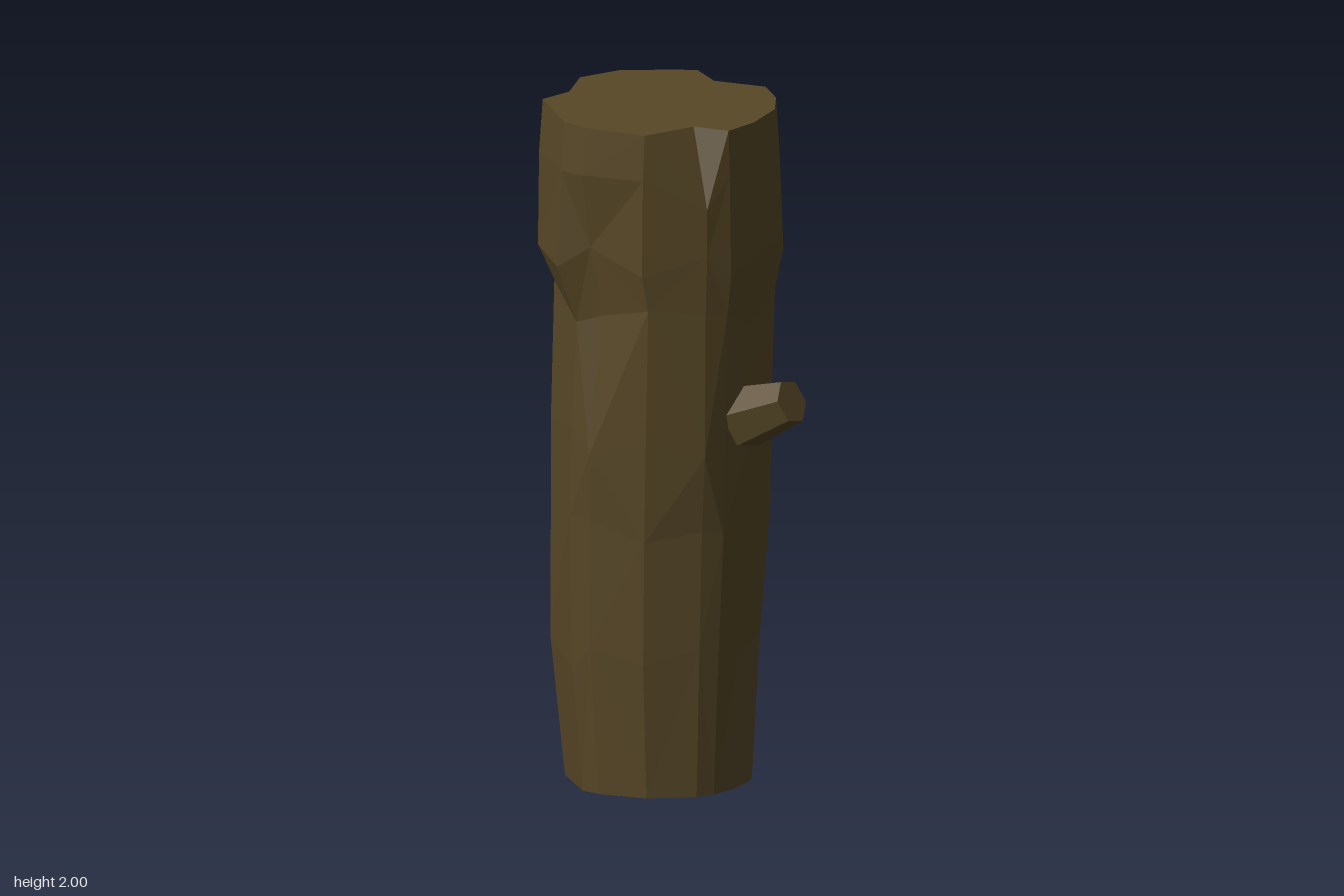
import * as THREE from 'three';

const bark = new THREE.MeshStandardMaterial({ color: 0x574726 });
bark.name = 'bark';

// Outline of the trunk as [x, z], running from the front towards +x
const outline = [
  [0.05, 0.30], [0.12, 0.28], [0.21, 0.215], [0.30, 0.10], [0.33, -0.01], [0.325, -0.12],
  [0.265, -0.245], [0.17, -0.315], [0.11, -0.335], [-0.055, -0.36], [-0.18, -0.315],
  [-0.285, -0.235], [-0.335, -0.13], [-0.325, 0.105], [-0.28, 0.17], [-0.13, 0.28],
];
const N = outline.length;

// Split notches in the upper rim: column -> [inner x, inner z, y of the lower tip]
const notches = { 0: [0.03, 0.22, 1.75], 6: [0.19, -0.205, 1.85], 11: [-0.24, -0.185, 1.82] };

// Trunk levels: [y, reach to -x, +x, -z, +z]
const levels = [
  [0.00, 0.27, 0.255, 0.30, 0.22],
  [0.40, 0.305, 0.275, 0.345, 0.24],
  [0.80, 0.31, 0.305, 0.337, 0.26],
  [1.05, 0.31, 0.315, 0.335, 0.28],
  [1.42, 0.295, 0.32, 0.33, 0.29],
  [1.58, 0.35, 0.345, 0.335, 0.30],
  [1.84, 0.342, 0.335, 0.347, 0.30],
];

// Long cracks in the bark: [level, column, radial scale]
const cracks = [[4, 14, 0.9], [5, 14, 0.88], [4, 11, 0.92], [5, 11, 0.93], [4, 5, 0.96]];

function makeRings() {
  const rings = levels.map(([y, xl, xr, zb, zf], k) => outline.map(([x, z], i) => {
    const middle = k > 0 && k < levels.length - 1;
    const crack = cracks.find(c => c[0] === k && c[1] === i);
    const s = (crack ? crack[2] : 1) * (middle ? 1 + 0.012 * Math.sin(i * 4.1 + k * 2.3) : 1);
    const px = x * s * (x < 0 ? xl / 0.335 : xr / 0.33);
    const pz = z * s * (z < 0 ? zb / 0.36 : zf / 0.30);
    let py = y + (middle ? 0.04 * Math.sin(i * 2.2 + k * 1.7) : 0);
    if (k === levels.length - 1 && notches[i]) py = notches[i][2];
    return [px, py, pz];
  }));
  // Upper rim, rising slightly to the back
  rings.push(outline.map(([x, z], i) => {
    const [px, pz] = notches[i] || [x * 0.985, z];
    return [px, 1.986 - pz * 0.038, pz];
  }));
  return rings;
}

function makeTrunk() {
  const rings = makeRings();
  const pos = [];
  const tri = (a, b, c) => pos.push(...a, ...b, ...c);
  for (let k = 0; k < rings.length - 1; k++) {
    for (let i = 0; i < N; i++) {
      const j = (i + 1) % N;
      const a = rings[k][i], b = rings[k][j], c = rings[k + 1][j], d = rings[k + 1][i];
      // Diagonals run towards the notch tips so each notch is a clean triangle
      const toB = k === rings.length - 2 ? !!notches[j] : (i + k) % 2 === 0;
      if (toB) { tri(a, b, d); tri(b, c, d); } else { tri(a, b, c); tri(a, c, d); }
    }
  }
  // Sawn ends
  const top = rings[rings.length - 1], bottom = rings[0];
  for (let i = 0; i < N; i++) {
    const j = (i + 1) % N;
    tri([0, 1.986, 0], top[i], top[j]);
    tri([0, 0, 0], bottom[j], bottom[i]);
  }
  const geo = new THREE.BufferGeometry();
  geo.setAttribute('position', new THREE.Float32BufferAttribute(pos, 3));
  geo.computeVertexNormals();
  return geo;
}

// Short tapered stub pointing out and slightly up
function makeBranch() {
  const from = new THREE.Vector3(0.18, 1.105, 0.19), to = new THREE.Vector3(0.295, 1.175, 0.315);
  const dir = to.clone().sub(from);
  const geo = new THREE.CylinderGeometry(0.066, 0.098, dir.length(), 6).toNonIndexed();
  geo.applyQuaternion(new THREE.Quaternion().setFromUnitVectors(new THREE.Vector3(0, 1, 0), dir.clone().normalize()));
  geo.translate(...from.add(to).multiplyScalar(0.5).toArray());
  geo.computeVertexNormals();
  return geo;
}

export function createModel() {
  const group = new THREE.Group();
  group.name = 'log';
  const parts = { trunk: makeTrunk(), branchStub: makeBranch() };
  for (const [name, geo] of Object.entries(parts)) {
    const mesh = new THREE.Mesh(geo, bark);
    mesh.name = name;
    group.add(mesh);
  }
  return group;
}
